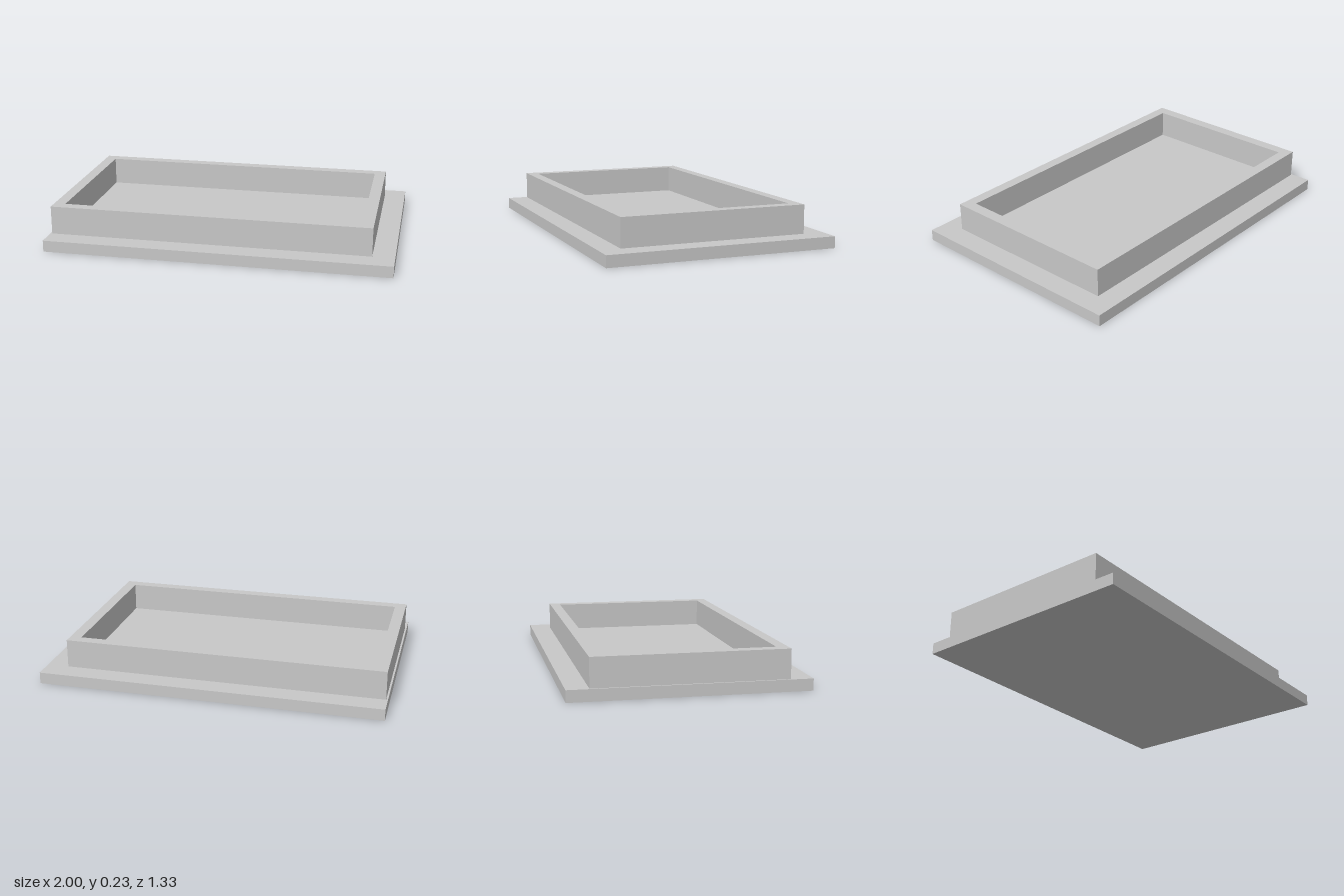
import * as THREE from 'three';

const SLAB_H = 0.067;
const WALL_TOP = 0.233;

// Rectangle outline centred on (cx, 0)
function rect(PathType, cx, w, d) {
  const x0 = cx - w / 2, x1 = cx + w / 2, z = d / 2;
  return new PathType([[x0, -z], [x1, -z], [x1, z], [x0, z]].map(([x, y]) => new THREE.Vector2(x, y)));
}

export function createModel() {
  const model = new THREE.Group();
  model.name = 'trayOnSlab';
  const grey = new THREE.MeshStandardMaterial({ color: 0xc8c8c8 });
  grey.name = 'lightGrey';

  // Base slab
  const slab = new THREE.Mesh(new THREE.BoxGeometry(2, SLAB_H, 1.334), grey);
  slab.name = 'baseSlab';
  slab.position.y = SLAB_H / 2;
  model.add(slab);

  // Rectangular rim wall, set towards one end of the slab
  const centreX = -0.058;
  const outline = rect(THREE.Shape, centreX, 1.863, 1.085);
  outline.holes.push(rect(THREE.Path, centreX, 1.73, 0.957));
  const wallGeometry = new THREE.ExtrudeGeometry(outline, { depth: WALL_TOP - SLAB_H, bevelEnabled: false });
  wallGeometry.rotateX(-Math.PI / 2);
  const wall = new THREE.Mesh(wallGeometry, grey);
  wall.name = 'rimWall';
  wall.position.y = SLAB_H;
  model.add(wall);

  return model;
}
